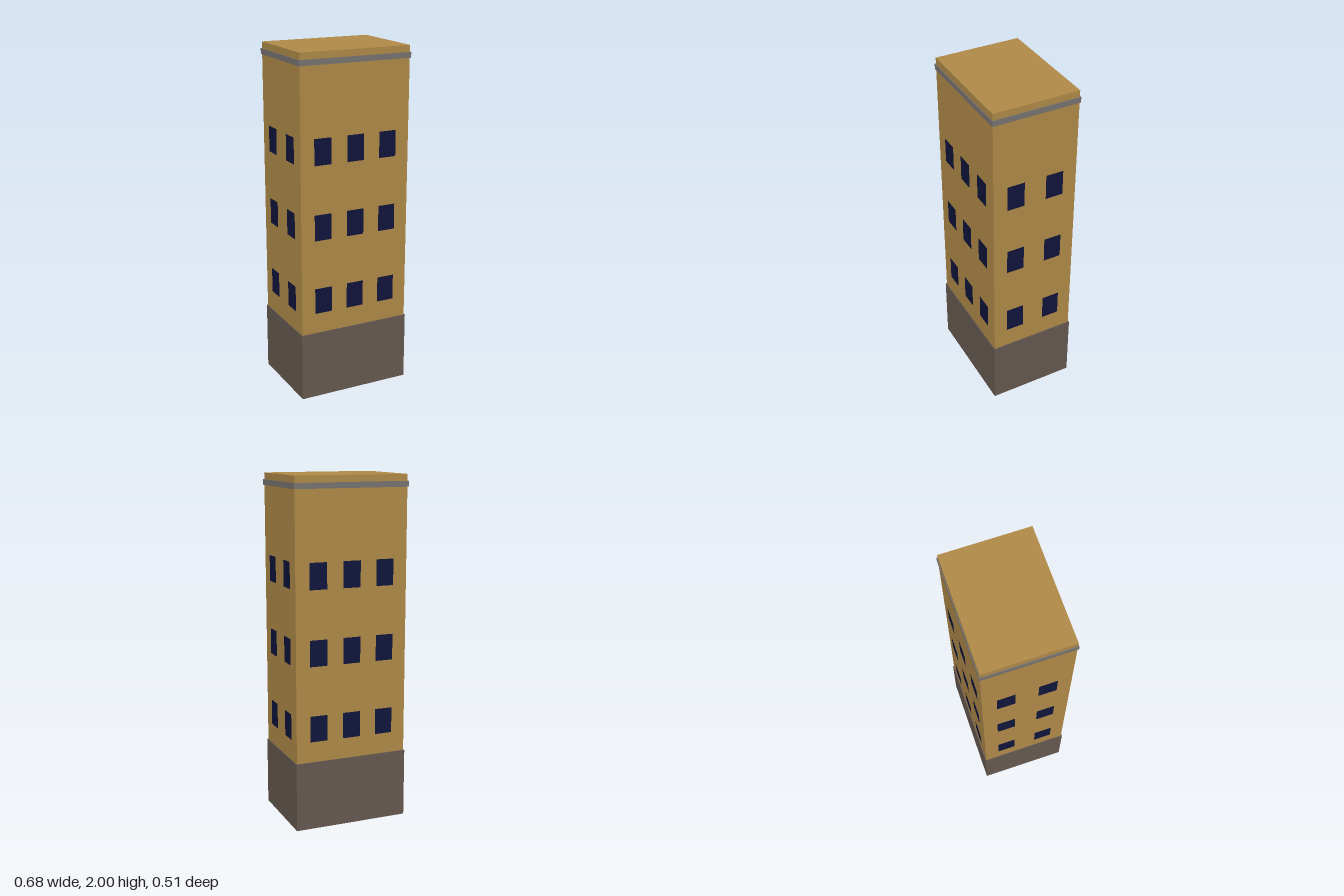
import * as THREE from 'three';

const W = 0.666, D = 0.5, H = 2;

export function createModel() {
  const building = new THREE.Group();
  building.name = 'building';

  const paint = (color) => new THREE.MeshStandardMaterial({ color });
  const wallPaint = paint(0xb08a48);
  const basePaint = paint(0x665950);
  const trimPaint = paint(0x77736f);
  const glass = paint(0x10143c);

  // Box spanning bottom to top, centred on the axis
  const addBlock = (name, w, d, bottom, top, material) => {
    const mesh = new THREE.Mesh(new THREE.BoxGeometry(w, top - bottom, d), material);
    mesh.name = name;
    mesh.position.y = (bottom + top) / 2;
    building.add(mesh);
  };
  addBlock('walls', W, D, 0, H, wallPaint);
  // Plinth, lifted a hair so its underside does not coincide with the walls
  addBlock('plinth', 0.676, 0.512, 0.001, 0.4, basePaint);
  addBlock('cornice', 0.678, 0.51, 1.93, 1.962, trimPaint);

  // Flat windows: three columns on front and back, two on each side
  const pane = new THREE.PlaneGeometry(0.104, 0.15);
  const floors = [0.595, 1.03, 1.46];
  const facades = [
    ['front', 0, D / 2, [-0.2, 0, 0.2]],
    ['left', Math.PI / 2, W / 2, [-0.117, 0.117]],
    ['back', Math.PI, D / 2, [-0.2, 0, 0.2]],
    ['right', -Math.PI / 2, W / 2, [-0.117, 0.117]],
  ];
  for (const [side, angle, distance, columns] of facades) {
    const windows = new THREE.Group();
    windows.name = `${side}Windows`;
    windows.rotation.y = angle;
    for (const y of floors) {
      for (const x of columns) {
        const mesh = new THREE.Mesh(pane, glass);
        mesh.name = 'window';
        mesh.position.set(x, y, distance + 0.002);
        windows.add(mesh);
      }
    }
    building.add(windows);
  }
  return building;
}
